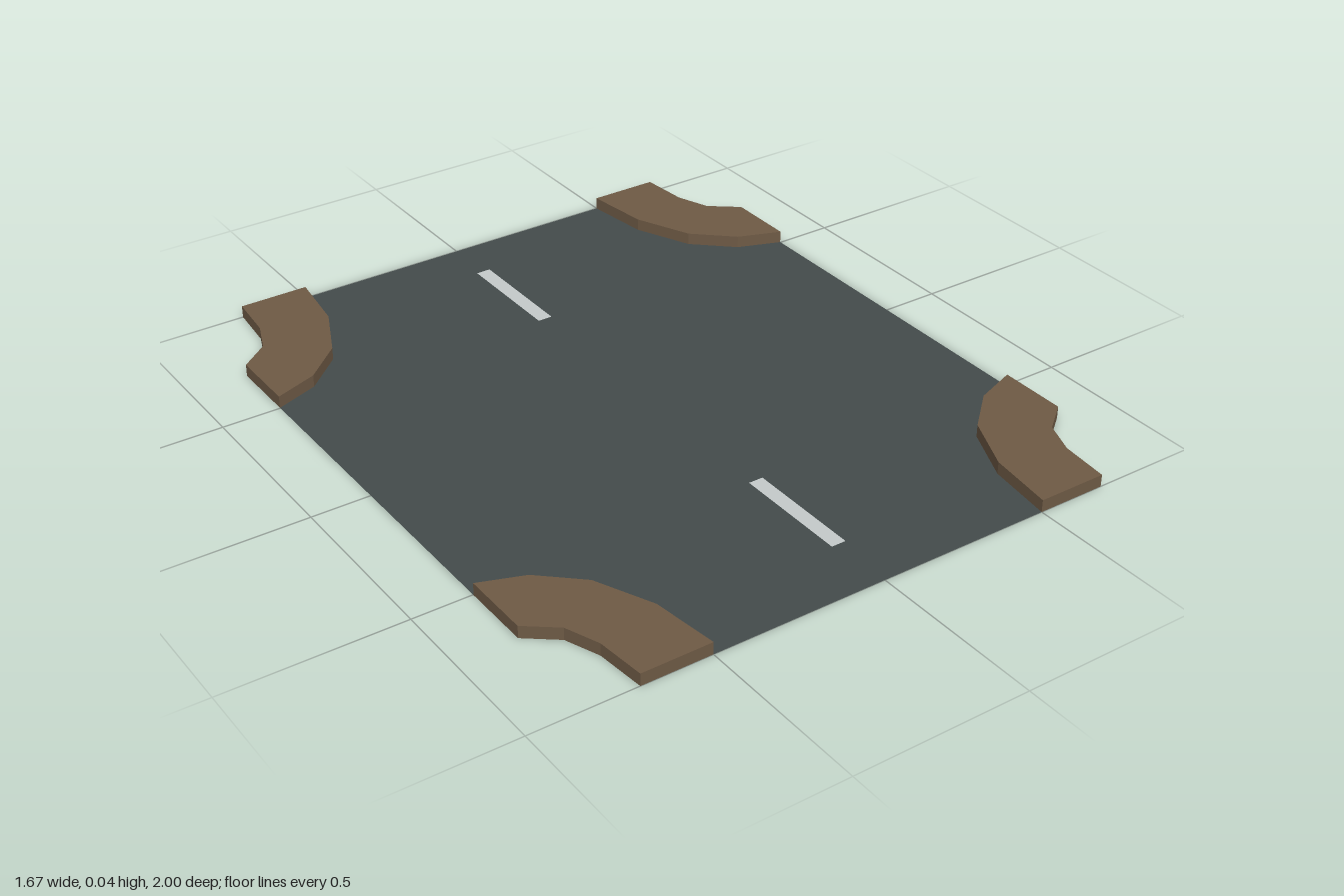
import * as THREE from 'three';

const CURB_HEIGHT = 0.035;
const HALF_X = 0.833;

// Curb outline for the +x +z corner as [x, z]: road side, then outer notch
const roadEdge = [[0.5, 1], [0.525, 0.81], [0.598, 0.648], [0.708, 0.548], [HALF_X, 0.502]];
const outerEdge = [[HALF_X, 0.7], [0.75, 0.765], [0.713, 0.86], [0.7, 1]];

// Mirrors an edge into another corner
const mirror = (points, sx, sz) => points.map(([x, z]) => [x * sx, z * sz]);

// Flat horizontal face from an [x, z] outline, facing up
function flatFace(points, y) {
  const shape = new THREE.Shape(points.map(([x, z]) => new THREE.Vector2(x, -z)));
  const geometry = new THREE.ShapeGeometry(shape);
  geometry.rotateX(-Math.PI / 2);
  geometry.translate(0, y, 0);
  return geometry;
}

// Vertical walls around an outline, open below
function wallBand(points) {
  const positions = [];
  points.forEach(([x0, z0], i) => {
    const [x1, z1] = points[(i + 1) % points.length];
    positions.push(x0, 0, z0, x1, 0, z1, x1, CURB_HEIGHT, z1);
    positions.push(x0, 0, z0, x1, CURB_HEIGHT, z1, x0, CURB_HEIGHT, z0);
  });
  const geometry = new THREE.BufferGeometry();
  geometry.setAttribute('position', new THREE.Float32BufferAttribute(positions, 3));
  geometry.computeVertexNormals();
  return geometry;
}

export function createModel() {
  const model = new THREE.Group();
  model.name = 'roadCrossing';

  const asphalt = new THREE.MeshStandardMaterial({ color: 0x434b4b, side: THREE.DoubleSide });
  asphalt.name = 'asphalt';
  const pavement = new THREE.MeshStandardMaterial({ color: 0x6e5a45, side: THREE.DoubleSide });
  pavement.name = 'pavement';
  const paint = new THREE.MeshStandardMaterial({ color: 0xc4caca });
  paint.name = 'roadPaint';

  const add = (parent, name, geometry, material) => {
    const mesh = new THREE.Mesh(geometry, material);
    mesh.name = name;
    parent.add(mesh);
  };

  // Road surface, cut along the four curved curbs
  const reversed = [...roadEdge].reverse();
  const roadOutline = [
    ...roadEdge,
    ...mirror(reversed, 1, -1),
    ...mirror(roadEdge, -1, -1),
    ...mirror(reversed, -1, 1),
  ];
  add(model, 'roadSurface', flatFace(roadOutline, 0), asphalt);

  // Raised corner pavements, hollow underneath
  for (const sx of [1, -1]) {
    for (const sz of [1, -1]) {
      const outline = mirror([...roadEdge, ...outerEdge], sx, sz);
      // Keep the same turning direction in every corner
      if (sx * sz > 0) outline.reverse();
      const corner = new THREE.Group();
      corner.name = `${sz > 0 ? 'front' : 'back'}${sx > 0 ? 'Left' : 'Right'}Pavement`;
      add(corner, 'pavementTop', flatFace(outline, CURB_HEIGHT), pavement);
      // Walls run anticlockwise seen from above so they face outwards
      const area = outline.reduce((sum, [x, z], i) => {
        const [nx, nz] = outline[(i + 1) % outline.length];
        return sum + x * nz - nx * z;
      }, 0);
      add(corner, 'pavementSides', wallBand(area < 0 ? outline : outline.reverse()), pavement);
      model.add(corner);
    }
  }

  // Painted centre dashes
  for (const [name, z0, z1] of [['backDash', -0.845, -0.505], ['frontDash', 0.49, 0.825]]) {
    const dash = [[-0.021, z0], [-0.021, z1], [0.021, z1], [0.021, z0]];
    add(model, name, flatFace(dash, 0.002), paint);
  }

  return model;
}
